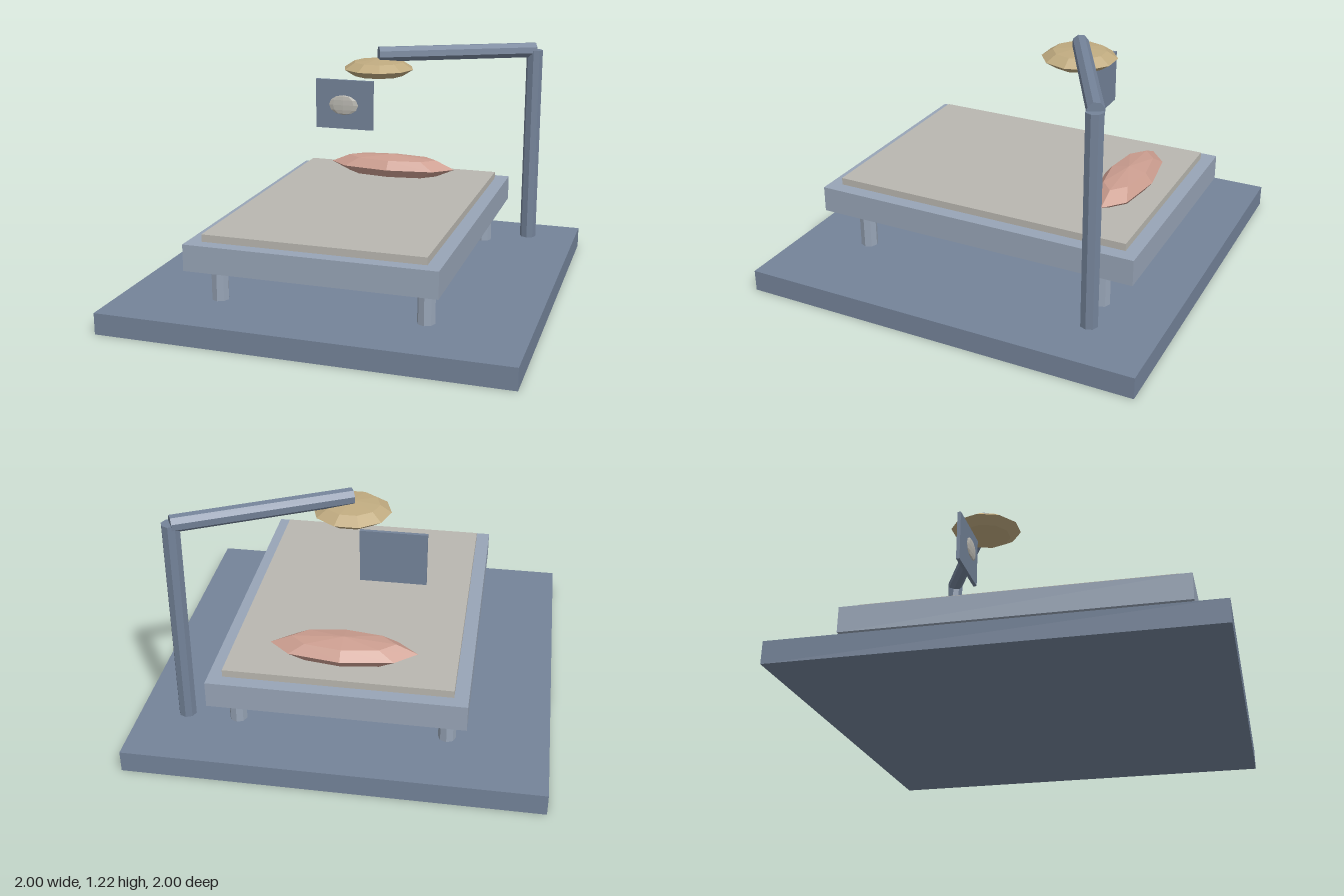
import * as THREE from 'three';

export function createModel() {
  const root = new THREE.Group();
  const material = (name, color) => {
    const m = new THREE.MeshStandardMaterial({ color, flatShading: true });
    m.name = name;
    return m;
  };
  const slate = material('slate', 0x748399);
  const steel = material('paleSteel', 0x98a5b7);
  const linen = material('linen', 0xb9b7b0);
  const rose = material('rose', 0xcb9d8f);
  const amber = material('amber', 0xc0ab80);

  const add = (name, geometry, mat, x, y, z) => {
    const mesh = new THREE.Mesh(geometry, mat);
    mesh.name = name;
    mesh.position.set(x, y, z);
    root.add(mesh);
    return mesh;
  };
  const box = (name, mat, w, h, d, x, y, z) =>
    add(name, new THREE.BoxGeometry(w, h, d), mat, x, y, z);
  // Faceted ellipsoid
  const blob = (name, mat, segments, rows, rx, ry, rz, x, y, z) =>
    add(name, new THREE.SphereGeometry(1, segments, rows).scale(rx, ry, rz), mat, x, y, z);
  // Octagonal rod between two points
  const rod = (name, mat, radius, a, b) => {
    const from = new THREE.Vector3(...a), to = new THREE.Vector3(...b);
    const dir = to.clone().sub(from);
    const mid = from.add(to).multiplyScalar(0.5);
    const mesh = add(name, new THREE.CylinderGeometry(radius, radius, dir.length(), 8), mat, mid.x, mid.y, mid.z);
    mesh.quaternion.setFromUnitVectors(new THREE.Vector3(0, 1, 0), dir.normalize());
  };

  // Floor slab and bed
  box('floorSlab', slate, 2, 0.107, 2, 0, 0.0535, 0);
  box('bedFrame', steel, 1.224, 0.13, 1.664, 0, 0.365, 0);
  box('mattress', linen, 1.088, 0.037, 1.534, 0, 0.4475, 0);
  for (const x of [-0.512, 0.512]) {
    for (const z of [-0.645, 0.645]) rod('bedLeg', steel, 0.043, [x, 0.107, z], [x, 0.3, z]);
  }
  blob('pillow', rose, 8, 4, 0.354, 0.065, 0.125, 0, 0.513, -0.566);

  // Overhead lamp on its post and slanted arm
  rod('lampPost', slate, 0.043, [0.755, 0.138, -0.685], [0.755, 1.18, -0.685]);
  rod('lampArm', slate, 0.041, [0, 1.18, -0.292], [0.755, 1.18, -0.69]);
  blob('lampShade', amber, 10, 4, 0.186, 0.05, 0.186, 0, 1.107, -0.29);

  // Hanging panel with an oval boss in front
  box('panel', slate, 0.32, 0.266, 0.018, -0.202, 0.893, -0.332);
  blob('panelOval', linen, 8, 6, 0.082, 0.054, 0.009, -0.202, 0.893, -0.31);

  return root;
}
